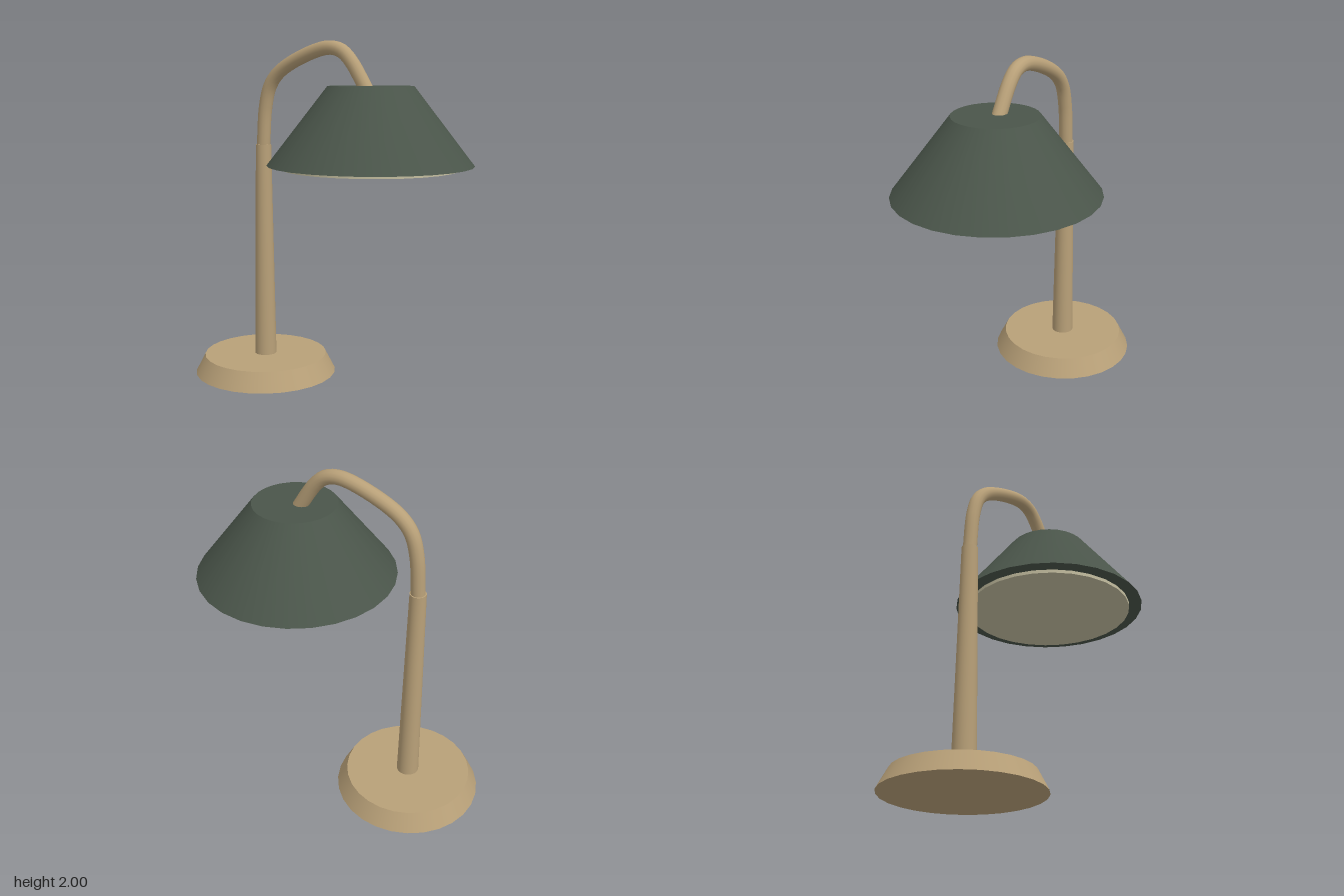
import * as THREE from 'three';

const brass = new THREE.MeshStandardMaterial({ name: 'tan brass', color: 0xb8a078 });
const green = new THREE.MeshStandardMaterial({ name: 'dark green', color: 0x4a554a });
const cream = new THREE.MeshStandardMaterial({ name: 'cream diffuser', color: 0xc4bea0 });

const POST_X = -0.445;
const SHADE_X = 0.305;

export function createModel() {
  const lamp = new THREE.Group();
  lamp.name = 'deskLamp';

  // Upright tapered cylinder between two heights
  const taper = (name, material, x, y0, y1, rBottom, rTop, sides = 28) => {
    const mesh = new THREE.Mesh(new THREE.CylinderGeometry(rTop, rBottom, y1 - y0, sides), material);
    mesh.position.set(x, (y0 + y1) / 2, 0);
    mesh.name = name;
    lamp.add(mesh);
  };

  taper('base', brass, POST_X, 0, 0.11, 0.43, 0.373);
  taper('post', brass, POST_X, 0.1, 1.4, 0.066, 0.046);
  taper('shade', green, SHADE_X, 1.32, 1.75, 0.57, 0.236);
  taper('diffuser', cream, SHADE_X, 1.3, 1.34, 0.493, 0.493);

  // Bent neck from the post into the top of the shade
  const path = new THREE.CatmullRomCurve3([
    [POST_X, 1.39], [-0.426, 1.62], [-0.39, 1.745], [-0.325, 1.823], [-0.18, 1.902],
    [0.02, 1.959], [0.11, 1.942], [0.175, 1.885], [0.265, 1.75], [0.3, 1.69],
  ].map(([x, y]) => new THREE.Vector3(x, y, 0)));
  const neck = new THREE.Mesh(new THREE.TubeGeometry(path, 48, 0.04, 14), brass);
  neck.name = 'neck';
  lamp.add(neck);

  return lamp;
}
